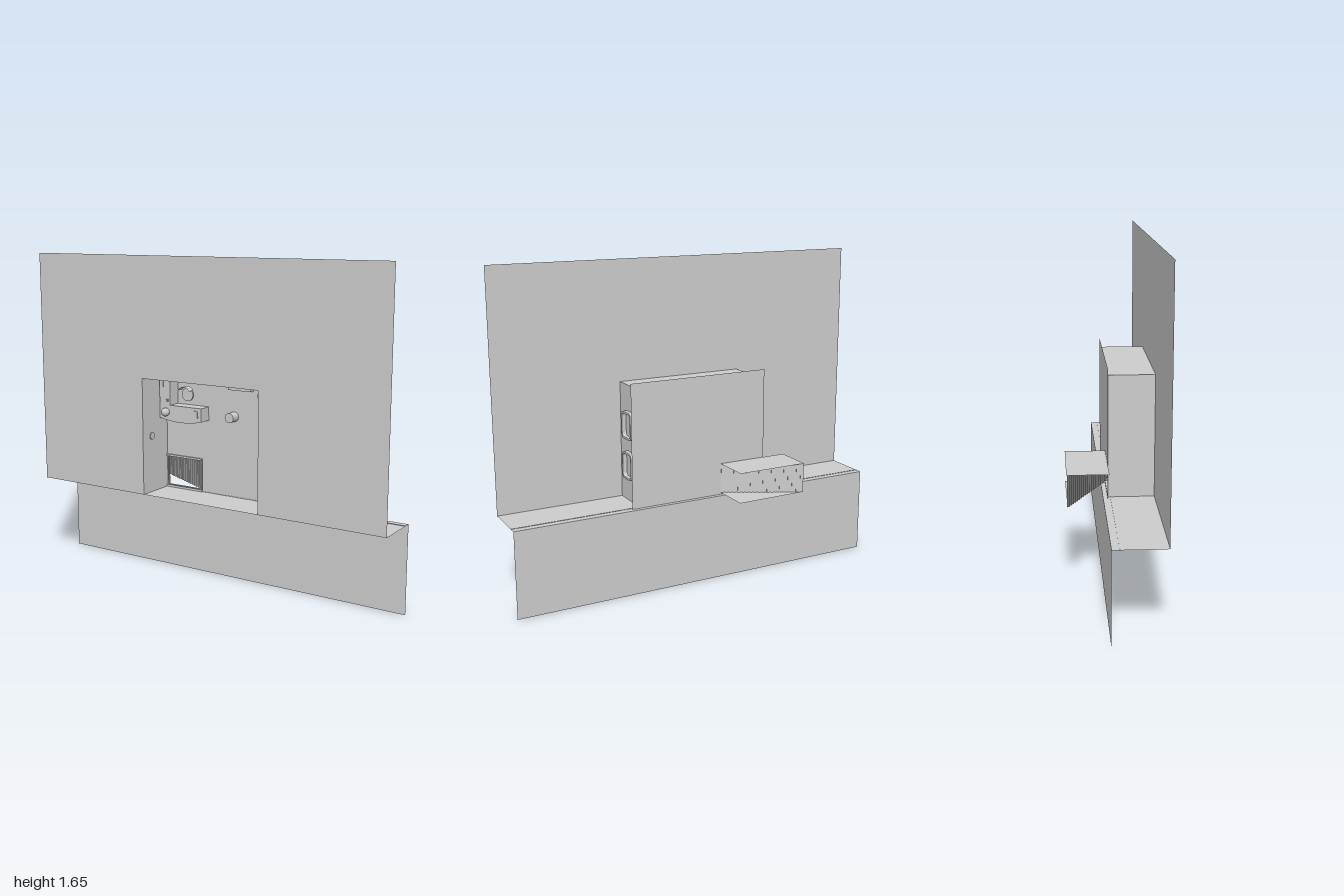
import * as THREE from 'three';

export function createModel() {
  const root = new THREE.Group();
  const grey = new THREE.MeshStandardMaterial({ color: 0xcccccc, side: THREE.DoubleSide });
  grey.name = 'pale grey';

  const add = (name, geometry, x = 0, y = 0, z = 0) => {
    const mesh = new THREE.Mesh(geometry, grey);
    mesh.name = name;
    mesh.position.set(x, y, z);
    root.add(mesh);
    return mesh;
  };
  // Box given by its limits on each axis
  const box = (name, x0, x1, y0, y1, z0, z1) => add(name,
    new THREE.BoxGeometry(x1 - x0, y1 - y0, z1 - z0), (x0 + x1) / 2, (y0 + y1) / 2, (z0 + z1) / 2);
  const outline = (pts) => new THREE.Shape(pts.map(([x, y]) => new THREE.Vector2(x, y)));
  const rect = (x0, x1, y0, y1) => [[x0, y0], [x1, y0], [x1, y1], [x0, y1]];
  const sheet = (name, pts, z, hole) => {
    const shape = outline(pts);
    if (hole) shape.holes.push(outline(hole));
    return add(name, new THREE.ShapeGeometry(shape), 0, 0, z);
  };
  // Horizontal sheet, points given as [x, z]
  const level = (name, pts, y) => {
    const mesh = sheet(name, pts.map(([x, z]) => [x, -z]), 0);
    mesh.rotation.x = -Math.PI / 2;
    mesh.position.y = y;
    return mesh;
  };
  const sideSheet = (name, x, z0, z1, y0, y1) => {
    const mesh = add(name, new THREE.PlaneGeometry(z1 - z0, y1 - y0), x, (y0 + y1) / 2, (z0 + z1) / 2);
    mesh.rotation.y = Math.PI / 2;
    return mesh;
  };
  // Upright cylinder standing out of the back panel
  const post = (name, x, y, r, z0, z1, squash = 1) => {
    const mesh = add(name, new THREE.CylinderGeometry(r, r, z1 - z0, 24), x, y, (z0 + z1) / 2);
    mesh.rotation.x = Math.PI / 2;
    mesh.scale.z = squash;
    return mesh;
  };

  const L = -0.34, R = 0.335, B = 0.445, T = 1.045, F = 0.21;

  // Large sheets: upper wall with an opening, ledge, lower wall
  sheet('upperWall', [[-1, B], [L, B], [L, T], [R, T], [R, B], [1, B], [1, 1.655], [-1, 1.655]], F);
  level('ledge', rect(-1, 1, -0.037, F), B);
  sheet('lowerWall', rect(-1, 1, 0, B), -0.037);
  box('ledgeSeam', -1, 1, B, B + 0.002, -0.002, 0.002);
  box('sill', -0.41, 0.41, 0.42, 0.444, -0.035, 0);

  // Recessed room
  const door = rect(-0.335, -0.12, 0.456, 0.61);
  sheet('roomBack', rect(L, R, B, T), 0, door);
  sheet('backPanel', rect(-0.375, 0.38, B, 1.08), -0.015, door);
  level('roomTop', rect(L, R, -0.015, F), T);
  sideSheet('roomRightWall', R, -0.015, F, B, T);
  sideSheet('roomLeftWall', L, -0.015, F, B, T);
  const knob = post('doorKnob', L + 0.004, 0.74, 0.018, 0.135, 0.14);
  knob.rotation.set(0, 0, Math.PI / 2);

  // Door trim
  box('doorHead', L, -0.12, 0.61, 0.62, 0, 0.008);
  box('doorFoot', L, -0.12, B, 0.456, 0, 0.008);

  // Rear alcove: roof, triangular floor and slanted ribbed wall
  const a = [-0.12, -0.01], b = [-0.5, -0.21];
  level('alcoveRoof', rect(-0.5, -0.12, -0.215, -0.015), 0.61);
  level('alcoveFloor', [a, b, [-0.12, -0.215]], 0.455);
  const dx = b[0] - a[0], dz = b[1] - a[1], len = Math.hypot(dx, dz), turn = Math.atan2(-dz, dx);
  const slanted = (name, t, w, depth) => {
    const mesh = add(name, new THREE.BoxGeometry(w, 0.155, depth), a[0] + dx * t, 0.5325, a[1] + dz * t);
    mesh.rotation.y = turn;
  };
  slanted('ribbedWall', 0.5, len, 0.003);
  for (let i = 0; i < 20; i++) slanted('rib', (i + 0.5) / 20, len / 40, 0.01);

  // Rounded side windows
  const rounded = (s, w, h, r) => {
    s.moveTo(-w + r, -h);
    s.lineTo(w - r, -h); s.quadraticCurveTo(w, -h, w, -h + r);
    s.lineTo(w, h - r); s.quadraticCurveTo(w, h, w - r, h);
    s.lineTo(-w + r, h); s.quadraticCurveTo(-w, h, -w, h - r);
    s.lineTo(-w, -h + r); s.quadraticCurveTo(-w, -h, -w + r, -h);
    return s;
  };
  for (const y of [0.635, 0.843]) {
    const frame = rounded(new THREE.Shape(), 0.053, 0.07, 0.025);
    frame.holes.push(rounded(new THREE.Path(), 0.045, 0.06, 0.02));
    const mesh = add('windowFrame', new THREE.ExtrudeGeometry(frame,
      { depth: 0.022, bevelEnabled: false }), R, y, 0.1);
    mesh.rotation.y = Math.PI / 2;
  }

  // Curved counter
  const counter = new THREE.Shape();
  counter.moveTo(-0.335, 0.9);
  counter.lineTo(-0.335, 0.825);
  counter.quadraticCurveTo(-0.2, 0.795, -0.08, 0.825);
  counter.lineTo(-0.08, 0.895);
  counter.lineTo(-0.27, 0.895);
  counter.lineTo(-0.27, 1.04);
  counter.lineTo(-0.335, 1.04);
  add('counter', new THREE.ExtrudeGeometry(counter, { depth: 0.07, bevelEnabled: false }));
  box('counterScreen', -0.13, -0.1, 0.845, 0.88, 0.07, 0.076);
  box('counterTray', -0.33, -0.31, 0.985, 1.02, 0.07, 0.076);
  box('smallItem', -0.29, -0.28, 0.915, 0.925, 0.07, 0.08);
  add('lampGlobe', new THREE.SphereGeometry(0.022, 20, 14), -0.29, 0.86, 0.085);

  // Chair with a curved backrest
  post('chairSeat', -0.18, 0.955, 0.034, 0.035, 0.045);
  post('chairStem', -0.18, 0.955, 0.008, 0, 0.035);
  const back = add('chairBack', new THREE.CylinderGeometry(0.038, 0.038, 0.04, 16, 1, true,
    Math.PI / 2 + 0.5, Math.PI - 1), -0.18, 0.96, 0.06);
  back.rotation.x = Math.PI / 2;

  // Stools, cabinet, bench and bin
  post('stool', 0.073, 0.86, 0.025, 0, 0.05);
  post('ovalTable', 0.26, 0.985, 0.032, 0, 0.04, 0.75);
  box('cabinet', 0.055, 0.185, 0.998, 1.043, 0, 0.03);
  box('bench', 0.272, 0.33, 0.535, 0.725, 0, 0.04);
  box('benchBack', 0.318, 0.332, 0.535, 0.725, 0.04, 0.075);
  post('bin', 0.3, 0.495, 0.02, 0, 0.04);

  return root;
}
